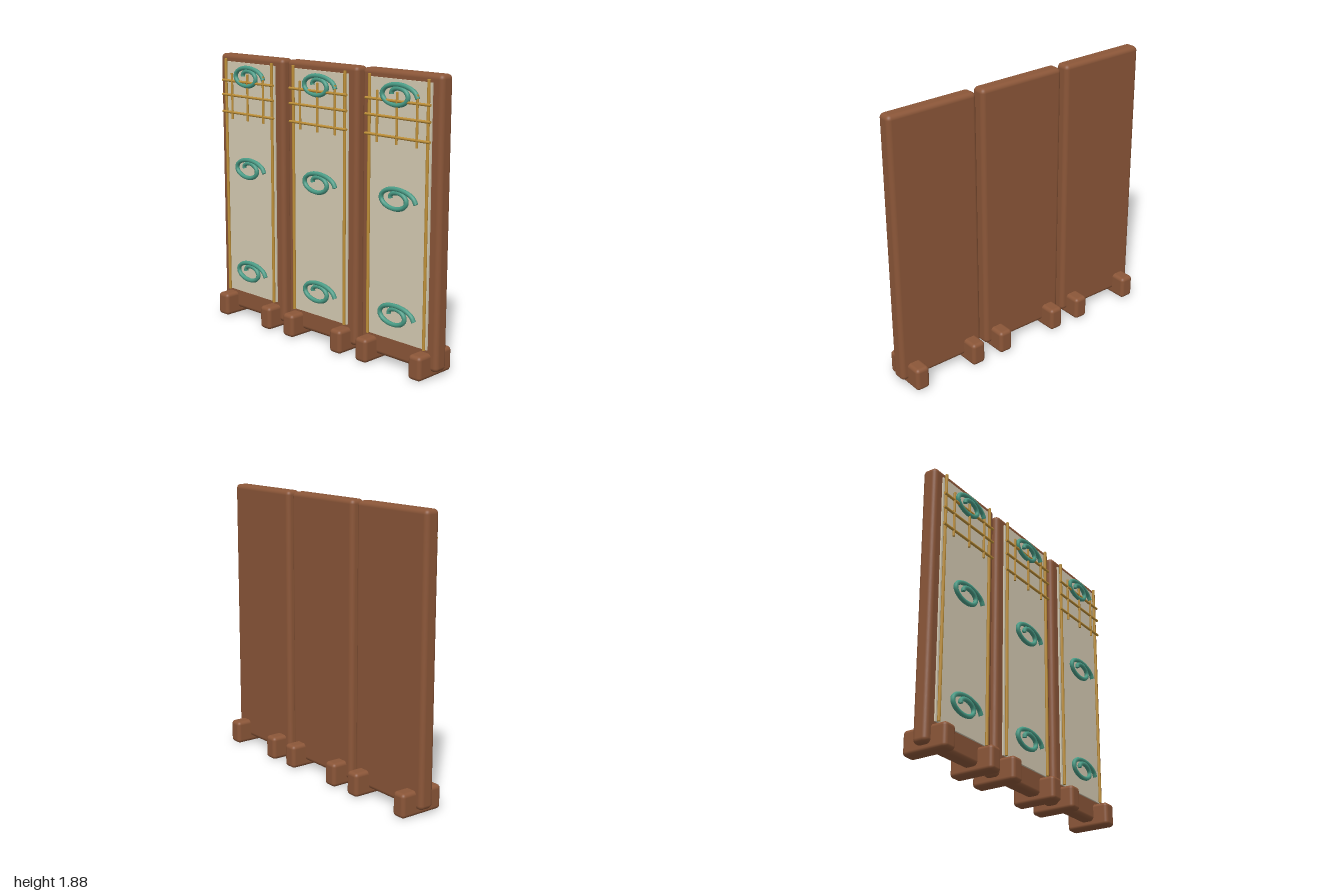
import * as THREE from 'three';
import { RoundedBoxGeometry } from 'three/addons/geometries/RoundedBoxGeometry.js';

const wood = new THREE.MeshStandardMaterial({ color: 0x8b5638 });
const paper = new THREE.MeshStandardMaterial({ color: 0xd6ccb4 });
const gold = new THREE.MeshStandardMaterial({ color: 0xbf9038 });
const jade = new THREE.MeshStandardMaterial({ color: 0x4a9c86 });

function add(parent, name, geometry, material, x, y, z) {
  const mesh = new THREE.Mesh(geometry, material);
  mesh.name = name;
  mesh.position.set(x, y, z);
  parent.add(mesh);
  return mesh;
}

// Flattened spiral that winds inward one and a half turns
function swirlGeometries() {
  const points = [];
  for (let i = 0; i <= 24; i++) {
    const t = i / 24;
    const a = t * Math.PI * 3;
    const r = 0.16 - 0.115 * t;
    const squash = 0.47 + 0.2 * t;
    points.push(new THREE.Vector3(Math.cos(a) * r, Math.sin(a) * r * squash - 0.012 * (1 - t), 0));
  }
  const curve = new THREE.CatmullRomCurve3(points);
  const tube = new THREE.TubeGeometry(curve, 72, 0.015, 8);
  // Flat discs closing both ends
  const caps = [0, 1].map((t) => {
    const cap = new THREE.CircleGeometry(0.015, 8);
    const dir = curve.getTangent(t).multiplyScalar(t ? 1 : -1);
    cap.applyQuaternion(new THREE.Quaternion().setFromUnitVectors(new THREE.Vector3(0, 0, 1), dir));
    const p = curve.getPoint(t);
    return cap.translate(p.x, p.y, p.z);
  });
  return [tube, ...caps];
}

function createPanel() {
  const panel = new THREE.Group();
  panel.name = 'screenPanel';

  // Solid wooden back and the sheet on its front
  add(panel, 'frame', new RoundedBoxGeometry(0.64, 1.84, 0.104, 4, 0.03), wood, 0, 0.96, 0);
  add(panel, 'paperSheet', new THREE.BoxGeometry(0.5, 1.65, 0.02), paper, 0, 1.005, 0.053);

  // Feet and full-height gold rods
  for (const side of [-1, 1]) {
    add(panel, 'foot', new RoundedBoxGeometry(0.1, 0.16, 0.315, 4, 0.025), wood, side * 0.225, 0.08, 0);
    add(panel, 'sideRod', new THREE.CylinderGeometry(0.01, 0.01, 1.67, 10), gold, side * 0.235, 1.015, 0.075);
  }

  // Lattice near the top
  for (const y of [1.48, 1.6, 1.7]) {
    const bar = add(panel, 'latticeBar', new THREE.CylinderGeometry(0.009, 0.009, 0.52, 10), gold, 0, y, 0.085);
    bar.rotation.z = Math.PI / 2;
  }
  for (const x of [-0.16, 0, 0.16]) {
    add(panel, 'latticePost', new THREE.CylinderGeometry(0.008, 0.008, 0.32, 10), gold, x, 1.595, 0.086);
  }

  // Cloud swirls
  const parts = swirlGeometries();
  for (const y of [0.355, 1.1, 1.74]) {
    const swirl = new THREE.Group();
    swirl.name = 'cloudSwirl';
    swirl.position.set(0, y, 0.084);
    parts.forEach((g, i) => add(swirl, i ? 'swirlEnd' : 'swirlTube', g, jade, 0, 0, 0));
    panel.add(swirl);
  }
  return panel;
}

export function createModel() {
  const model = new THREE.Group();
  model.name = 'foldingScreen';
  for (const x of [-0.68, 0, 0.68]) {
    const panel = createPanel();
    panel.position.x = x;
    model.add(panel);
  }
  return model;
}
